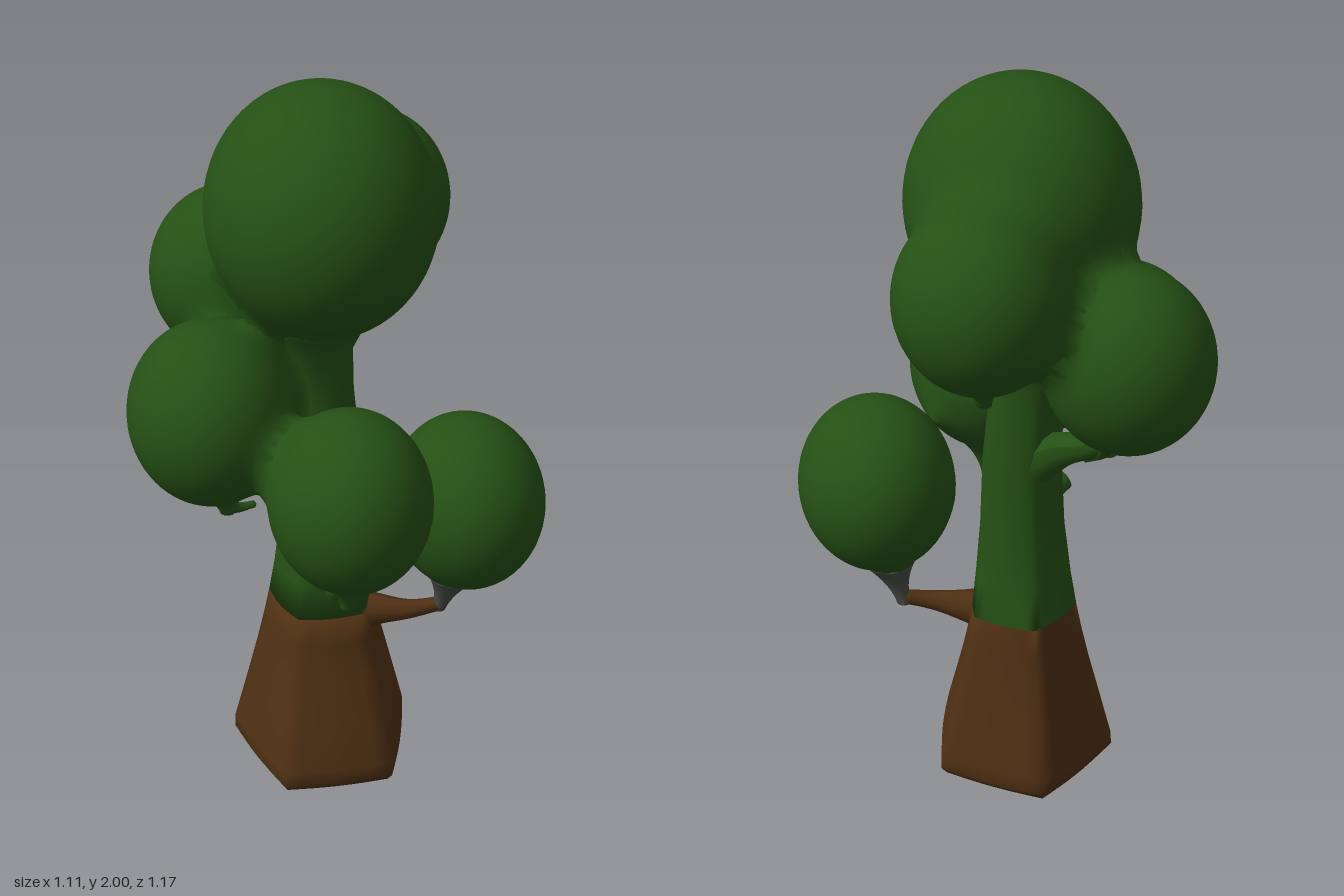
import * as THREE from 'three';

const V = (x, y, z) => new THREE.Vector3(x, y, z);
const leaf = new THREE.MeshStandardMaterial({ color: 0x255015 });
const bark = new THREE.MeshStandardMaterial({ color: 0x4f3013 });
const ash = new THREE.MeshStandardMaterial({ color: 0x474b44 });

// Leaf balls: centre, radii, and the tip of the drop hanging below
const BALLS = [
  { name: 'crown', c: V(-0.03, 1.67, -0.03), r: V(0.3, 0.33, 0.33) },
  { name: 'backLeftBall', c: V(0.15, 1.56, -0.34), r: V(0.22, 0.24, 0.23), tip: V(0.13, 1.24, -0.28) },
  { name: 'backRightBall', c: V(-0.22, 1.36, -0.36), r: V(0.22, 0.24, 0.225), tip: V(-0.19, 1.04, -0.25) },
  { name: 'rightBall', c: V(-0.34, 1.17, 0.07), r: V(0.215, 0.245, 0.235), tip: V(-0.3, 0.86, 0.06) },
  { name: 'frontBall', c: V(-0.025, 1.035, 0.35), r: V(0.21, 0.24, 0.235), tip: V(-0.025, 0.69, 0.32) },
  { name: 'leftBall', c: V(0.34, 0.845, 0.09), r: V(0.21, 0.24, 0.24), tip: V(0.28, 0.48, 0.05) },
];

// Smooth union of all balls and the upper trunk
function field(p) {
  const h = THREE.MathUtils.clamp((p.y - 0.6) / 0.8, 0, 1);
  let d = p.distanceTo(V(-0.025 - 0.025 * h, 0.6 + 0.8 * h, -0.05)) - (0.12 - 0.02 * h);
  for (const { c, r } of BALLS) {
    const q = p.clone().sub(c).divide(r), k = q.length();
    const e = k * (k - 1) / Math.max(q.divide(r).length(), 1e-4);
    const s = Math.max(0.09 - Math.abs(d - e), 0) / 0.09;
    d = Math.min(d, e) - s * s * 0.09 / 4;
  }
  return d;
}

// Ball whose vertices slide along their rays onto the blended surface
function ballGeometry({ c, r }) {
  const g = new THREE.SphereGeometry(1, 56, 36);
  const pos = g.attributes.position, nor = g.attributes.normal;
  for (let i = 0; i < pos.count; i++) {
    const ray = V().fromBufferAttribute(pos, i).multiply(r), len = ray.length();
    let t = 1;
    for (let n = 0; n < 14; n++) {
      t = THREE.MathUtils.clamp(t - field(c.clone().addScaledVector(ray, t)) / len, 0.95, 1.3);
    }
    const p = c.clone().addScaledVector(ray, t), e = 0.004;
    const slope = (v) => field(p.clone().add(v)) - field(p.clone().sub(v));
    const n = V(slope(V(e, 0, 0)), slope(V(0, e, 0)), slope(V(0, 0, e))).normalize();
    pos.setXYZ(i, p.x, p.y, p.z);
    nor.setXYZ(i, n.x, n.y, n.z);
  }
  return g;
}

// Skin over level rings [y, cx, cz, rx, rz, pentagon amount], listed upward
function loft(rings, sides = 40) {
  const pos = [], idx = [], row = sides;
  for (const [y, cx, cz, rx, rz, m = 0] of rings) {
    for (let i = 0; i < sides; i++) {
      const a = (i / sides) * Math.PI * 2, step = Math.PI * 0.4;
      // corners at the back (a = 0) and every 72 degrees
      const off = (a % step) - step / 2;
      const k = 1 + m * (Math.cos(step / 2) / Math.cos(off) - 1);
      pos.push(cx - Math.sin(a) * rx * k, y, cz - Math.cos(a) * rz * k);
    }
  }
  for (let j = 0; j < rings.length - 1; j++) {
    for (let i = 0; i < sides; i++) {
      const a = j * row + i, b = j * row + (i + 1) % sides;
      idx.push(a, b, b + row, a, b + row, a + row);
    }
  }
  // End caps
  const top = (rings.length - 1) * row;
  for (let i = 1; i < sides - 1; i++) idx.push(0, i + 1, i, top, top + i, top + i + 1);
  const g = new THREE.BufferGeometry();
  g.setAttribute('position', new THREE.Float32BufferAttribute(pos, 3));
  g.setIndex(idx);
  g.computeVertexNormals();
  return g;
}

// Hanging drop that flares from the tip up into its ball
function dropGeometry({ c, r, tip }, from = 0, to = 1) {
  const rings = [], n = 12, topY = c.y - r.y * 0.75;
  for (let i = 0; i <= n; i++) {
    const t = from + (to - from) * i / n;
    const rad = 0.02 + (r.x * 0.62 - 0.02) * Math.pow(t, 1.9);
    const f = t * 0.9;
    rings.push([tip.y + (topY - tip.y) * t, tip.x + (c.x - tip.x) * f, tip.z + (c.z - tip.z) * f, rad, rad]);
  }
  return loft(rings, 20);
}

// Tapering tube along a smooth path, closed by a small round end
function branchGeometry(points, r0, r1) {
  const curve = new THREE.CatmullRomCurve3(points), n = 16, sides = 10;
  const g = new THREE.TubeGeometry(curve, n, 1, sides);
  const pos = g.attributes.position;
  for (let i = 0; i < pos.count; i++) {
    const t = Math.floor(i / (sides + 1)) / n, mid = curve.getPointAt(t);
    const rad = (r1 + (r0 - r1) * Math.pow(1 - t, 2)) * (t === 1 ? 0.05 : 1);
    const p = V().fromBufferAttribute(pos, i).sub(mid).multiplyScalar(rad).add(mid);
    pos.setXYZ(i, p.x, p.y, p.z);
  }
  g.computeVertexNormals();
  return g;
}

export function createModel() {
  const tree = new THREE.Group();
  tree.name = 'tree';
  const add = (name, geometry, material) => {
    const mesh = new THREE.Mesh(geometry, material);
    mesh.name = name;
    tree.add(mesh);
  };

  // Five-sided trunk, bark below and green above
  const seam = [0.5, -0.025, -0.055, 0.15, 0.155, 0.6];
  add('lowerTrunk', loft([
    [0, -0.025, -0.035, 0.21, 0.23, 0.85],
    [0.008, -0.025, -0.035, 0.24, 0.262, 0.85],
    [0.03, -0.025, -0.035, 0.258, 0.28, 0.85],
    [0.07, -0.025, -0.035, 0.256, 0.277, 0.85],
    [0.2, -0.025, -0.04, 0.222, 0.235, 0.8],
    [0.34, -0.025, -0.05, 0.185, 0.19, 0.7],
    [0.42, -0.025, -0.055, 0.166, 0.17, 0.65],
    seam,
  ]), bark);
  add('upperTrunk', loft([
    seam,
    [0.6, -0.025, -0.05, 0.135, 0.135, 0.5],
    [0.75, -0.025, -0.045, 0.118, 0.115, 0.4],
    [0.95, -0.025, -0.045, 0.108, 0.105, 0.3],
    [1.15, -0.04, -0.045, 0.1, 0.1, 0.2],
    [1.28, -0.05, -0.045, 0.105, 0.11, 0.1],
    [1.36, -0.05, -0.045, 0.14, 0.15],
    [1.44, -0.045, -0.04, 0.19, 0.2],
  ]), leaf);

  // Leaf balls with their hanging drops
  for (const ball of BALLS) {
    add(ball.name, ballGeometry(ball), leaf);
    if (!ball.tip) continue;
    if (ball.name === 'leftBall') {
      add('leftBallTip', dropGeometry(ball, 0, 0.7), ash);
      add('leftBallNeck', dropGeometry(ball, 0.7, 1), leaf);
    } else add(ball.name + 'Drop', dropGeometry(ball), leaf);
  }

  // Branches reaching the balls, and short stubs
  add('leftBranch', branchGeometry([V(0.04, 0.46, -0.02), V(0.12, 0.47, 0.01), V(0.2, 0.48, 0.04), V(0.3, 0.5, 0.055)], 0.07, 0.02), bark);
  add('backBranch', branchGeometry([V(-0.04, 0.94, -0.07), V(-0.11, 1.02, -0.16), V(-0.17, 1.06, -0.23), V(-0.2, 1.12, -0.28)], 0.08, 0.03), leaf);
  add('upperStub', branchGeometry([V(0, 1.3, -0.08), V(0.05, 1.29, -0.16), V(0.12, 1.29, -0.27)], 0.09, 0.04), leaf);
  add('rightStub', branchGeometry([V(-0.06, 0.78, -0.03), V(-0.12, 0.81, 0), V(-0.17, 0.83, 0.02)], 0.06, 0.03), leaf);
  add('frontStub', branchGeometry([V(-0.03, 0.62, 0), V(-0.03, 0.64, 0.09), V(-0.03, 0.66, 0.19)], 0.08, 0.03), leaf);
  add('rightHook', branchGeometry([V(-0.31, 0.9, 0.06), V(-0.28, 0.87, 0.055), V(-0.22, 0.865, 0.04)], 0.03, 0.01), leaf);
  return tree;
}
